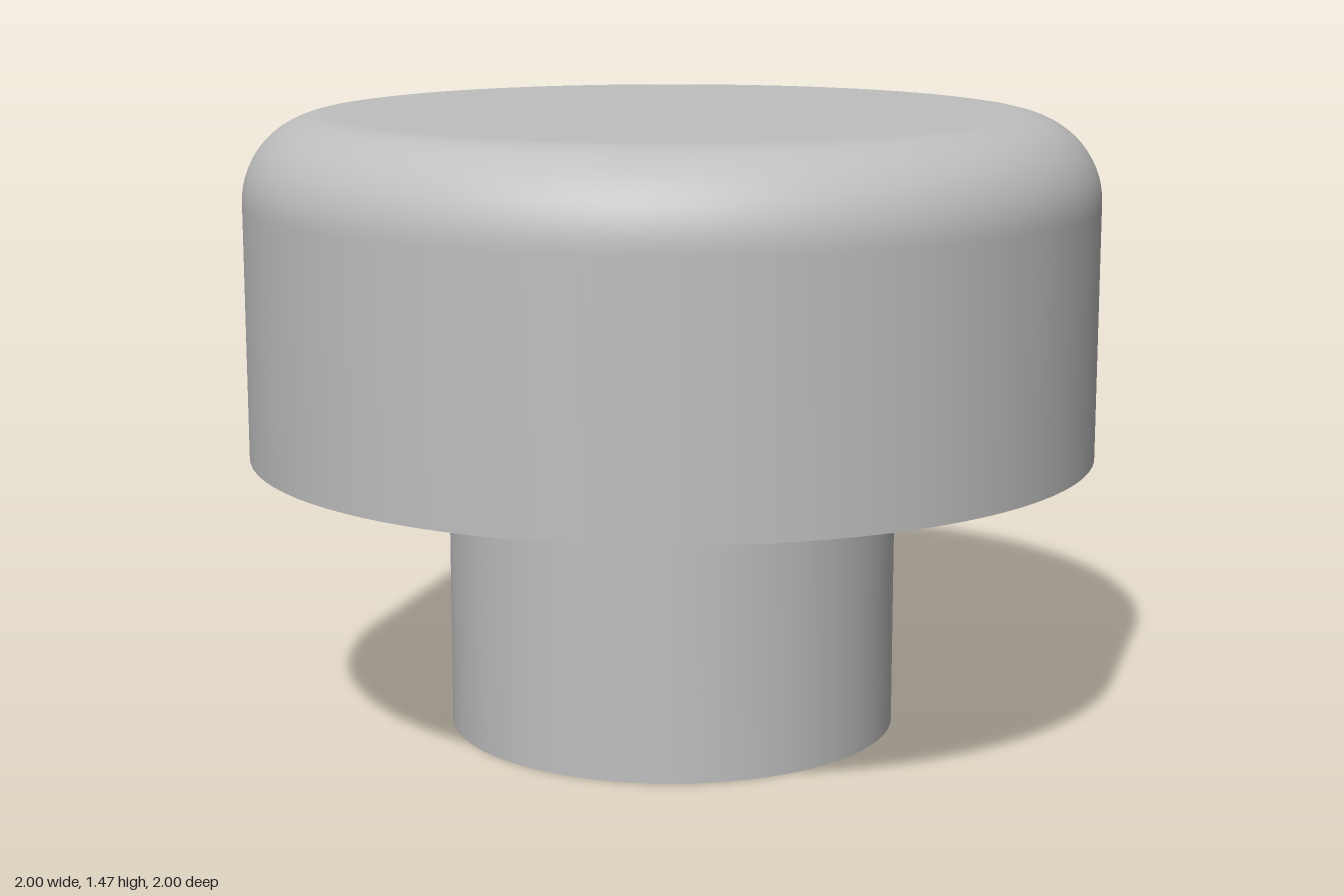
import * as THREE from 'three';
import { toCreasedNormals } from 'three/addons/utils/BufferGeometryUtils.js';

const SEGMENTS = 96;
const CAP_R = 1, STEM_R = 0.533, HOLE_R = 0.187;
const STEM_TOP = 0.667, TOP = 1.467, FILLET = 0.2, HOLE_DEPTH = 1.0;

// Revolve a profile of [radius, height] points, keeping hard edges sharp
function turned(name, points, material) {
  const profile = points.map(([r, y]) => new THREE.Vector2(r, y));
  const geometry = toCreasedNormals(new THREE.LatheGeometry(profile, SEGMENTS), 0.6);
  const mesh = new THREE.Mesh(geometry, material);
  mesh.name = name;
  return mesh;
}

export function createModel() {
  const knob = new THREE.Group();
  knob.name = 'knob';
  const grey = new THREE.MeshStandardMaterial({ color: 0xbfbfbf });
  grey.name = 'light grey';

  // Cap: flat underside, straight wall, rounded rim and flat top
  const cap = [[STEM_R, STEM_TOP], [CAP_R, STEM_TOP], [CAP_R, TOP - FILLET - 0.01]];
  const steps = 16;
  for (let i = 0; i <= steps; i++) {
    const a = (i / steps) * Math.PI / 2;
    cap.push([CAP_R - FILLET + FILLET * Math.cos(a), TOP - FILLET + FILLET * Math.sin(a)]);
  }
  cap.push([CAP_R - FILLET - 0.01, TOP], [0, TOP]);
  knob.add(turned('cap', cap, grey));

  // Stem: ring-shaped foot and straight wall up to the cap
  knob.add(turned('stem', [[HOLE_R, 0], [STEM_R, 0], [STEM_R, STEM_TOP]], grey));

  // Blind screw hole, open at the foot of the stem
  knob.add(turned('screwHole', [[0, HOLE_DEPTH], [HOLE_R, HOLE_DEPTH], [HOLE_R, 0]], grey));

  return knob;
}
